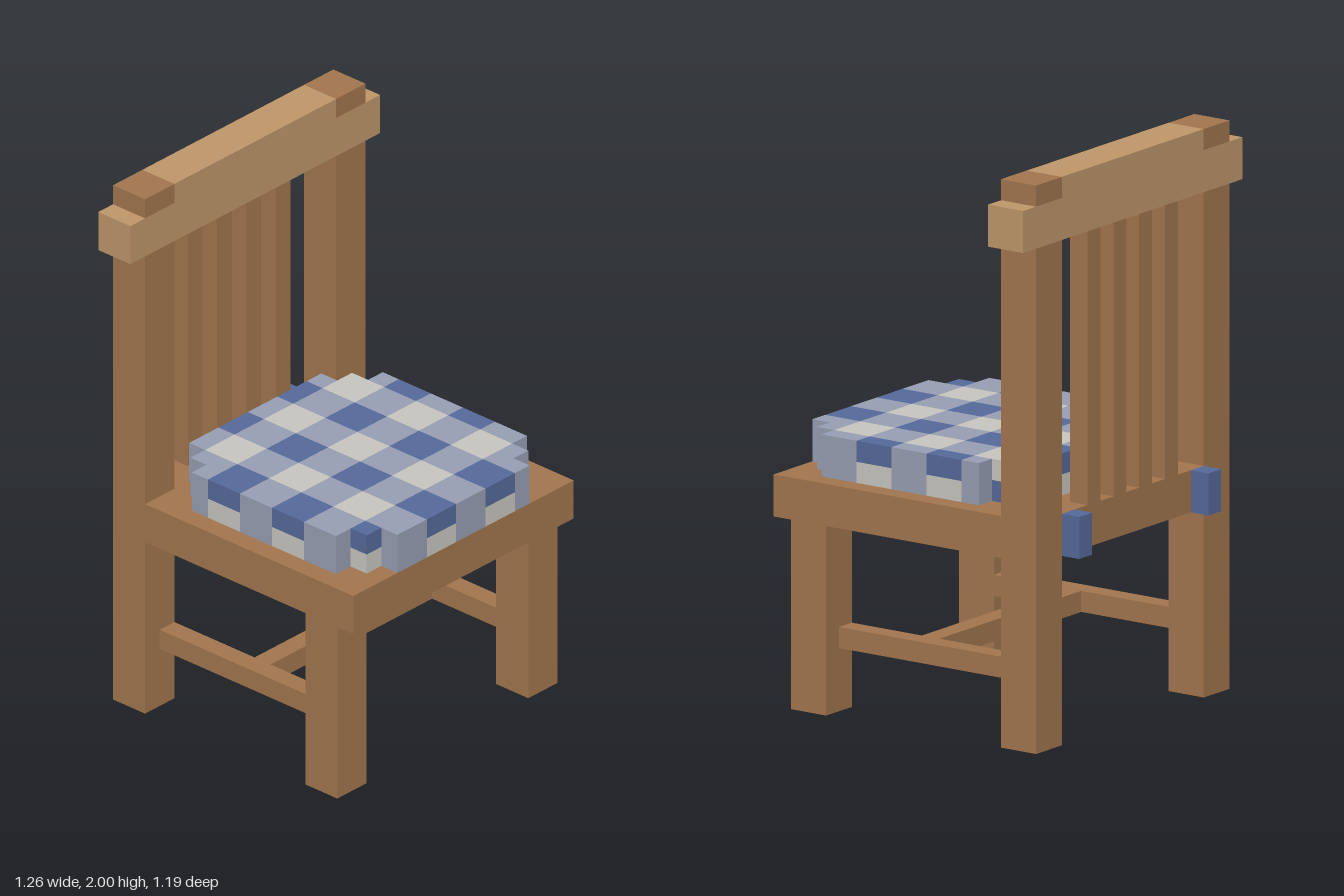
import * as THREE from 'three';
import { mergeGeometries } from 'three/addons/utils/BufferGeometryUtils.js';

const U = 2 / 27; // one grid block

function material(name, color) {
  const m = new THREE.MeshStandardMaterial({ color });
  m.name = name;
  return m;
}

export function createModel() {
  const wood = material('brown wood', 0xa3774f);
  const tan = material('light wood', 0xc0986b);
  const blue = material('blue cloth', 0x566a9c);
  const mid = material('grey blue cloth', 0x98a0b4);
  const pale = material('cream cloth', 0xc9c7c0);

  const model = new THREE.Group();
  model.name = 'chair';

  // Box given by its limits in blocks
  function block(name, mat, x0, x1, y0, y1, z0, z1) {
    const geo = new THREE.BoxGeometry((x1 - x0) * U, (y1 - y0) * U, (z1 - z0) * U);
    const mesh = new THREE.Mesh(geo, mat);
    mesh.position.set((x0 + x1) / 2 * U, (y0 + y1) / 2 * U, (z0 + z1) / 2 * U);
    mesh.name = name;
    model.add(mesh);
  }
  // Same box on both sides of the chair
  function pair(name, mat, x0, x1, ...rest) {
    block(name + 'Left', mat, x0, x1, ...rest);
    block(name + 'Right', mat, -x1, -x0, ...rest);
  }

  // Legs, back posts and stretchers
  pair('frontLeg', wood, 5.5, 7.5, 0, 9, 5, 7);
  pair('backPost', wood, 5.5, 7.5, 0, 24, -7, -5);
  pair('postTop', wood, 5.5, 7.5, 26, 27, -7, -5);
  pair('sideStretcher', wood, 5.5, 6.5, 3, 4, -5, 5);
  block('crossStretcher', wood, -5.5, 5.5, 3, 4, 0, 1);

  // Seat, with a tongue between the back posts
  block('seat', wood, -7.5, 7.5, 9, 11, -5, 8);
  block('seatBack', wood, -5.5, 5.5, 9, 11, -7, -5);

  // Backrest
  for (const x of [-3, -1, 1, 3]) block('slat', wood, x - 0.5, x + 0.5, 11, 24, -7, -6);
  block('topRail', tan, -8.5, 8.5, 24, 26, -7, -5);
  block('topRailCap', tan, -5.5, 5.5, 26, 27, -7, -5);

  // Cushion ties
  pair('cushionTie', blue, 4.5, 5.5, 9, 11, -8, -7);

  // Cushion: cells with stepped corners, only outer faces are built
  const inside = (i, j, k) => {
    const a = Math.abs(i), b = Math.abs(k);
    return j >= 0 && j < 2 && a <= 6 && b <= 6 && a + b <= 10;
  };
  // Gingham: crossing stripes, swapped on the lower layer
  const shade = (i, j, k) => {
    const column = Math.floor((i + 6) / 2) % 2 === 0;
    const row = Math.floor((k + 7) / 2) % 2 === 0;
    if (column !== row) return mid;
    return column === (j === 1) ? blue : pale;
  };
  // Normal and rotation of each face kind
  const faces = [
    [0, 1, 0, -Math.PI / 2, 0],
    [0, 0, 1, 0, 0],
    [0, 0, -1, 0, Math.PI],
    [1, 0, 0, 0, Math.PI / 2],
    [-1, 0, 0, 0, -Math.PI / 2],
  ];
  const cloth = new Map([[blue, []], [mid, []], [pale, []]]);
  for (let i = -6; i <= 6; i++) for (let j = 0; j < 2; j++) for (let k = -6; k <= 6; k++) {
    if (!inside(i, j, k)) continue;
    for (const [dx, dy, dz, rx, ry] of faces) {
      if (inside(i + dx, j + dy, k + dz)) continue;
      const quad = new THREE.PlaneGeometry(U, U).rotateX(rx).rotateY(ry);
      quad.translate((i + dx / 2) * U, (11.5 + j + dy / 2) * U, (k + 1.5 + dz / 2) * U);
      cloth.get(shade(i, j, k)).push(quad);
    }
  }
  const cushion = new THREE.Group();
  cushion.name = 'cushion';
  for (const [mat, quads] of cloth) {
    const mesh = new THREE.Mesh(mergeGeometries(quads), mat);
    mesh.name = 'cushion ' + mat.name;
    cushion.add(mesh);
  }
  model.add(cushion);

  return model;
}
